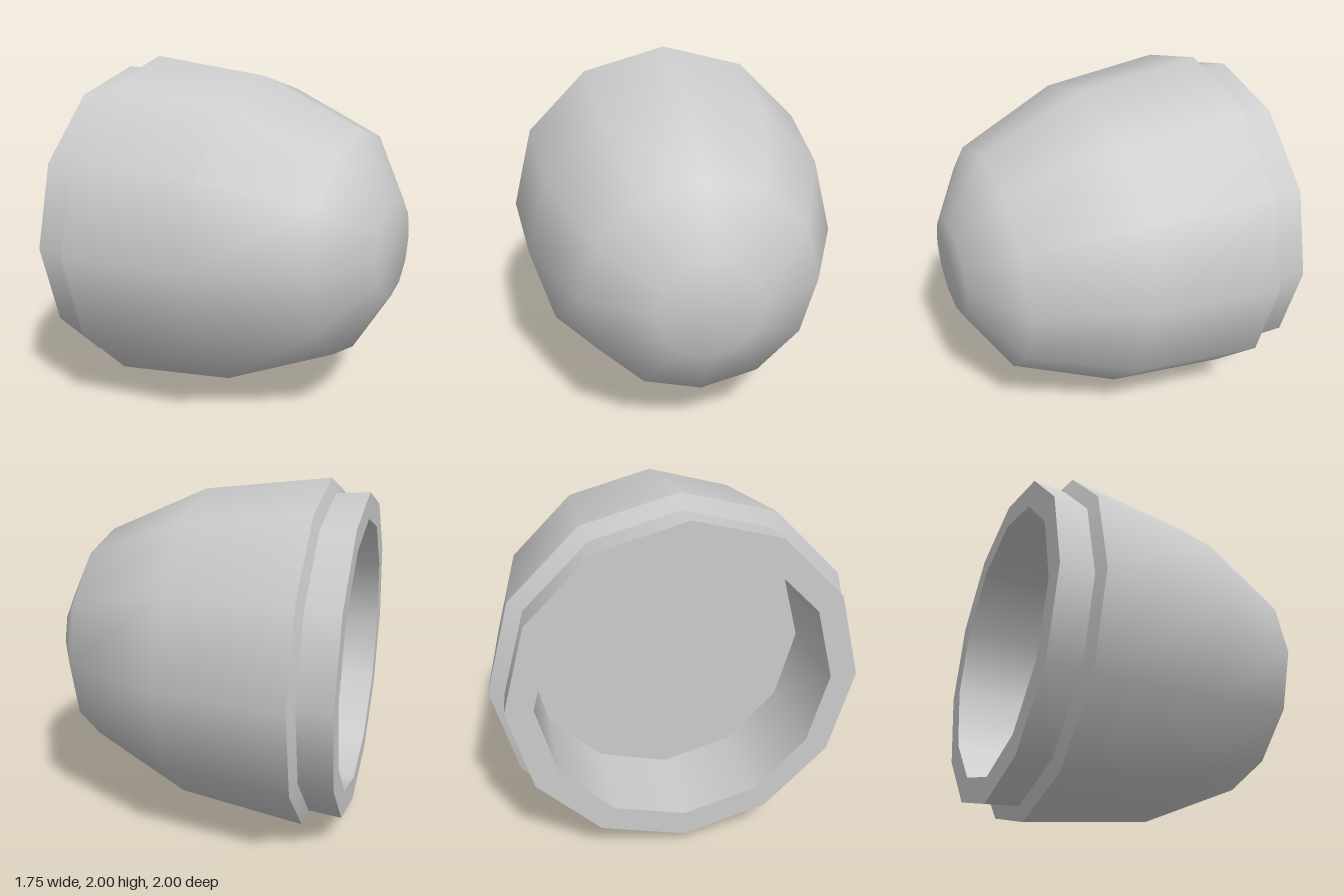
import * as THREE from 'three';

const SIDES = 12;

// Each section is a smooth run of [x, radius] points; edges between sections stay sharp.
const SECTIONS = {
  cavityFloor: [[-0.375, 0], [-0.375, 0.785]],
  cavityWall: [[-0.375, 0.785], [-0.876, 0.785]],
  rim: [[-0.876, 0.785], [-0.876, 0.93]],
  collar: [[-0.876, 0.93], [-0.69, 0.918]],
  shoulder: [[-0.69, 0.918], [-0.662, 1]],
  domedBody: [[-0.662, 1], [0.06, 0.915], [0.655, 0.65], [0.874, 0.285], [0.874, 0]],
};

// Revolve a profile about the x axis
function revolve(profile) {
  const points = profile.map(([x, r]) => new THREE.Vector2(r, x));
  return new THREE.LatheGeometry(points, SIDES).rotateZ(-Math.PI / 2);
}

export function createModel() {
  const group = new THREE.Group();
  group.name = 'hollowCap';
  const material = new THREE.MeshStandardMaterial({ color: 0xcccccc });

  for (const [name, profile] of Object.entries(SECTIONS)) {
    const mesh = new THREE.Mesh(revolve(profile), material);
    mesh.name = name;
    mesh.position.y = 1;
    group.add(mesh);
  }
  return group;
}
